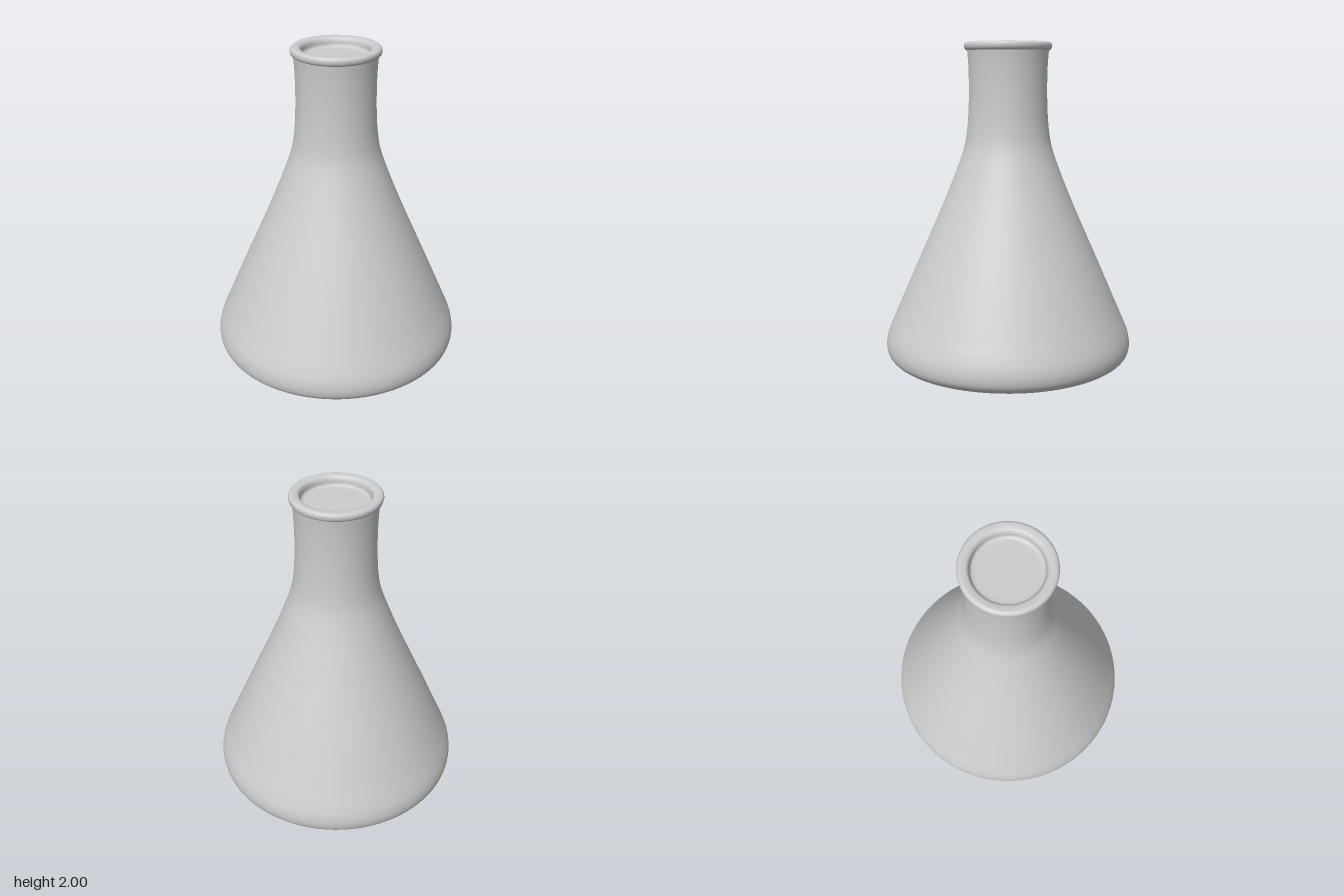
import * as THREE from 'three';

const material = new THREE.MeshStandardMaterial({ color: 0xcccccc, side: THREE.DoubleSide });

// Smooth surface of revolution through [radius, height] points
function turned(name, points, steps) {
  const curve = new THREE.CatmullRomCurve3(
    points.map(([r, y]) => new THREE.Vector3(r, y, 0)), false, 'centripetal');
  const profile = curve.getPoints(steps).map(p => new THREE.Vector2(Math.max(p.x, 0), Math.max(p.y, 0)));
  const mesh = new THREE.Mesh(new THREE.LatheGeometry(profile, 96), material);
  mesh.name = name;
  return mesh;
}

export function createModel() {
  const flask = new THREE.Group();
  flask.name = 'conicalFlask';

  // Slightly bulged base, rounded heel, conical wall and waisted neck
  flask.add(turned('body', [
    [0, 0], [0.25, 0.005], [0.5, 0.022], [0.64, 0.042], [0.71, 0.065], [0.748, 0.1],
    [0.76, 0.145], [0.755, 0.2], [0.735, 0.26], [0.7, 0.34], [0.587, 0.6], [0.41, 1],
    [0.328, 1.2], [0.268, 1.37], [0.249, 1.48], [0.24, 1.6], [0.237, 1.74], [0.24, 1.87],
    [0.246, 1.95],
  ], 110));

  // Rounded bead around the mouth, turning inwards
  flask.add(turned('lip', [
    [0.246, 1.95], [0.259, 1.958], [0.265, 1.975], [0.262, 1.991], [0.25, 2],
    [0.23, 2], [0.211, 1.995], [0.201, 1.98], [0.198, 1.96],
  ], 40));

  // Shallow recessed floor inside the mouth
  flask.add(turned('mouthFloor', [
    [0.198, 1.96], [0.195, 1.95], [0.185, 1.943], [0.165, 1.94], [0.08, 1.94], [0, 1.94],
  ], 24));

  return flask;
}
